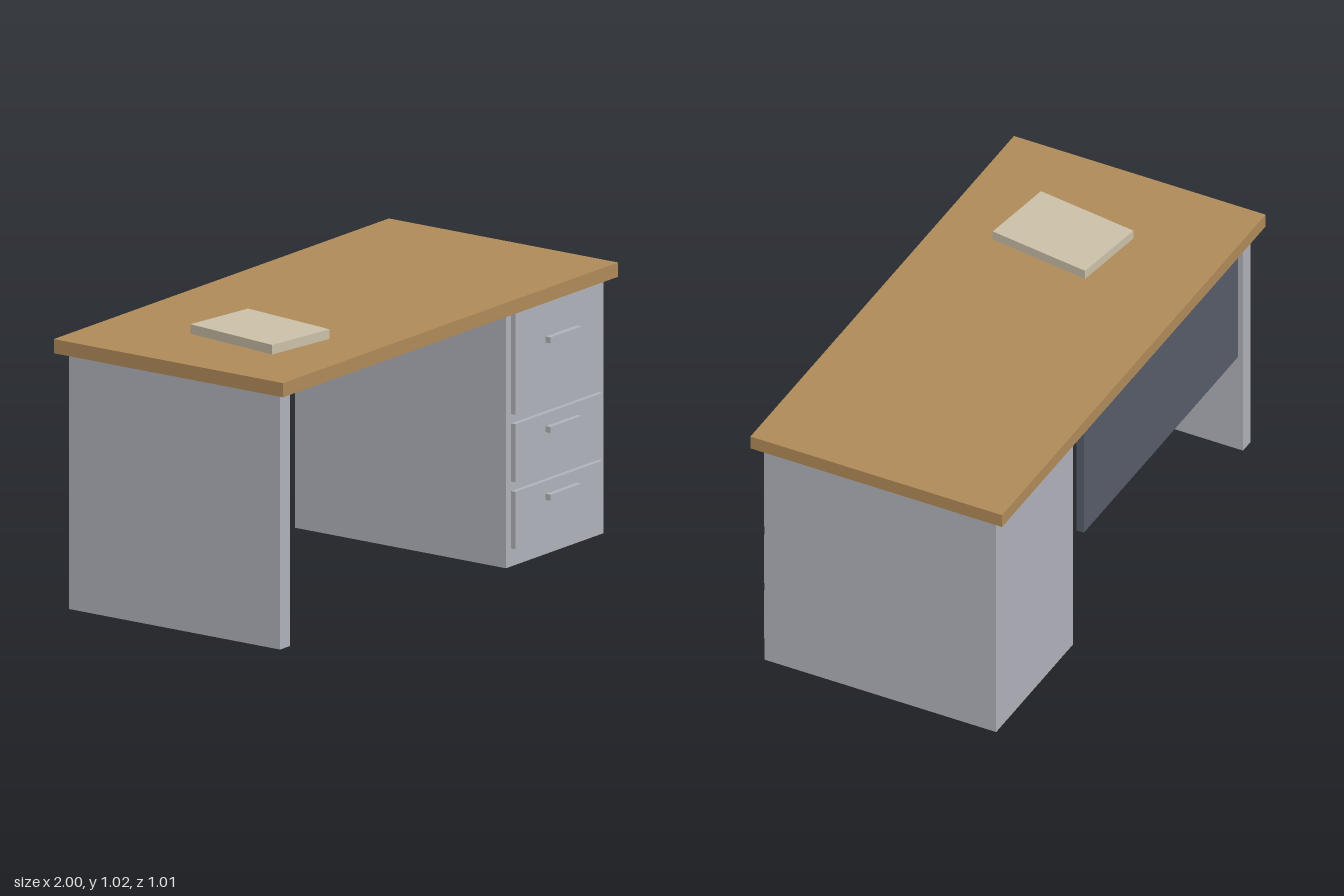
import * as THREE from 'three';

function material(name, color) {
  const m = new THREE.MeshStandardMaterial({ color });
  m.name = name;
  return m;
}

export function createModel() {
  const wood = material('wood', 0xb08a58);
  const grey = material('grey metal', 0xb0b2ba);
  const slate = material('slate', 0x565c68);
  const paper = material('paper', 0xcbc0a8);

  const desk = new THREE.Group();
  desk.name = 'desk';

  // Box given by its extent along each axis
  function box(name, mat, [x0, x1], [y0, y1], [z0, z1], parent = desk) {
    const mesh = new THREE.Mesh(new THREE.BoxGeometry(x1 - x0, y1 - y0, z1 - z0), mat);
    mesh.position.set((x0 + x1) / 2, (y0 + y1) / 2, (z0 + z1) / 2);
    mesh.name = name;
    parent.add(mesh);
    return mesh;
  }

  // Carcass
  const depth = [-0.465, 0.455];
  box('desktop', wood, [-1, 1], [0.935, 0.987], [-0.505, 0.495]);
  box('sidePanel', grey, [-0.963, -0.905], [0, 0.935], depth);
  box('pedestal', grey, [0.385, 0.968], [0, 0.935], depth);
  box('modestyPanel', slate, [-0.905, 0.264], [0.404, 0.92], [-0.445, -0.415]);

  // Drawers, each with a bar handle on two short posts
  const drawers = [
    { bottom: 0.065, top: 0.275, handle: 0.222 },
    { bottom: 0.31, top: 0.522, handle: 0.469 },
    { bottom: 0.556, top: 0.928, handle: 0.796 },
  ];
  drawers.forEach(({ bottom, top, handle }, i) => {
    const drawer = new THREE.Group();
    drawer.name = `drawer${i + 1}`;
    desk.add(drawer);
    box('drawerFront', grey, [0.416, 0.936], [bottom, top], [0.455, 0.474], drawer);
    box('handleBar', grey, [0.582, 0.769], [handle - 0.011, handle + 0.011], [0.484, 0.505], drawer);
    for (const x of [0.61, 0.741]) {
      box('handlePost', grey, [x - 0.008, x + 0.008], [handle - 0.007, handle + 0.007], [0.474, 0.484], drawer);
    }
  });

  // Paper pad lying at a slight angle
  const pad = box('paperPad', paper, [-0.688, -0.396], [0.987, 1.022], [-0.14, 0.26]);
  pad.rotation.y = -0.138;

  return desk;
}
